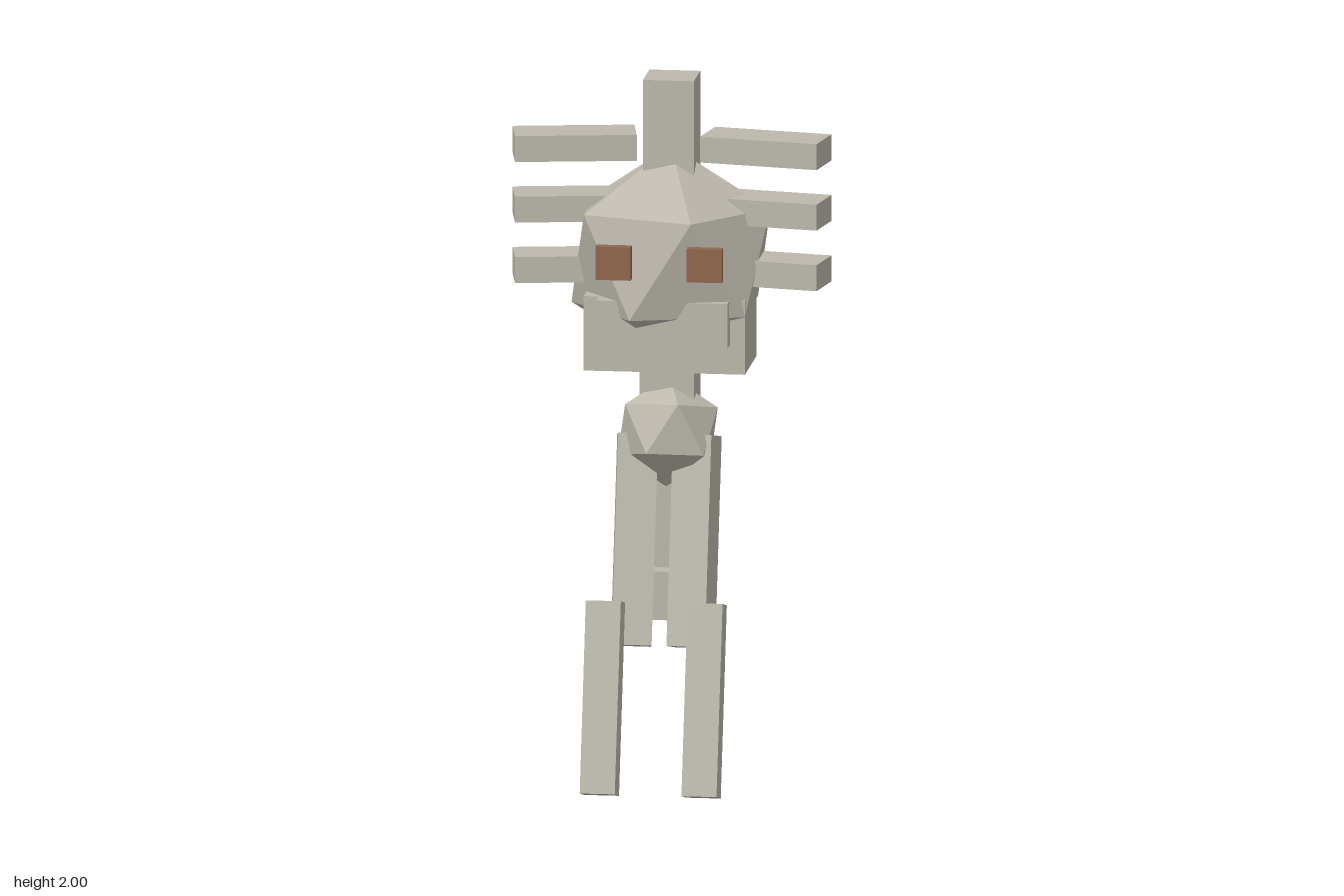
import * as THREE from 'three';

export function createModel() {
  const model = new THREE.Group();
  model.name = 'blockCreature';
  const stone = new THREE.MeshStandardMaterial({ color: 0xbcb8ac, flatShading: true });
  stone.name = 'stone grey';
  const brown = new THREE.MeshStandardMaterial({ color: 0x8f674f, flatShading: true });
  brown.name = 'eye brown';

  const add = (name, geometry, position, rotation = [0, 0, 0], material = stone) => {
    const mesh = new THREE.Mesh(geometry, material);
    mesh.name = name;
    mesh.position.set(...position);
    mesh.rotation.set(...rotation);
    model.add(mesh);
    return mesh;
  };
  const box = (name, size, position, rotation, material) =>
    add(name, new THREE.BoxGeometry(...size), position, rotation, material);

  // Faceted ball standing on one of its points
  const ball = (name, radii, position, rotation) => {
    const geometry = new THREE.IcosahedronGeometry(1, 0);
    geometry.rotateZ(-0.5536);
    geometry.scale(...radii);
    return add(name, geometry, position, rotation);
  };

  // Head, jaw and crest
  ball('head', [0.317, 0.317, 0.283], [0, 1.483, -0.133]);
  box('jaw', [0.46, 0.215, 0.26], [0, 1.2825, -0.115]);
  box('lip', [0.374, 0.13, 0.12], [0, 1.325, 0.01]);
  box('crest', [0.145, 0.3, 0.143], [0, 1.85, -0.148]);

  // Trunk and hips
  ball('chest', [0.157, 0.157, 0.157], [0, 0.99, -0.063], [-0.24, 0, 0]);
  box('neck', [0.155, 0.68, 0.15], [0, 0.9, -0.115]);
  box('spine', [0.13, 0.68, 0.145], [0, 0.9, -0.1625]);
  box('hips', [0.21, 0.14, 0.32], [0, 0.53, -0.14]);

  for (const [side, s] of [['left', 1], ['right', -1]]) {
    // Three swept-forward bars on each side of the head
    [1.8025, 1.6275, 1.4525].forEach((y, i) =>
      box(`${side}HeadBar${i + 1}`, [0.345, 0.075, 0.14], [s * 0.2725, y, -0.118], [0, -0.178 * s, 0]));

    box(`${side}Eye`, [0.1, 0.096, 0.03], [s * 0.13, 1.513, 0.125], [0, 0, 0], brown);

    // Leaning thighs with separate lower legs in front
    box(`${side}Thigh`, [0.113, 0.6, 0.108], [s * 0.085, 0.69, 0.016], [-0.245, -0.15 * s, 0]);
    box(`${side}Shin`, [0.1, 0.547, 0.098], [s * 0.145, 0.282, 0.26], [-0.25, 0, 0]);
  }
  return model;
}
